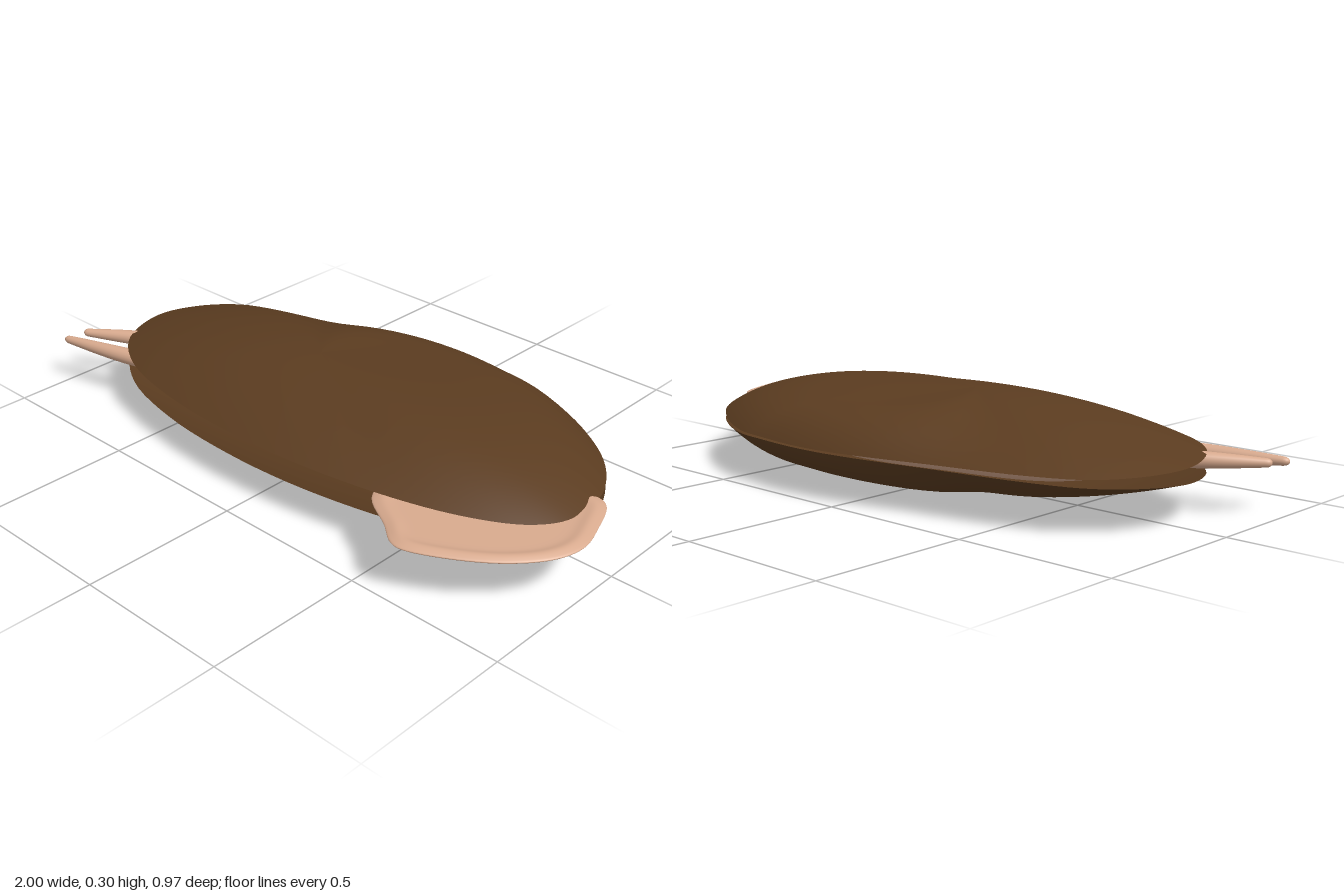
import * as THREE from 'three';

const MID = 0.151;                          // height of the plane between the valves
const CENTRE = new THREE.Vector2(-0.1, 0);  // crown of the valves in x, z

const closedCurve = (points) =>
  new THREE.CatmullRomCurve3(points.map(([x, z]) => new THREE.Vector3(x, 0, z)), true);

// Valve outline seen from above, as x, z pairs
const OUTLINE = closedCurve([
  [-0.885, 0], [-0.855, -0.14], [-0.76, -0.265], [-0.6, -0.338], [-0.3, -0.41],
  [0, -0.477], [0.17, -0.49], [0.35, -0.475], [0.45, -0.46], [0.61, -0.387],
  [0.78, -0.26], [0.876, -0.12], [0.904, 0], [0.892, 0.1], [0.83, 0.185],
  [0.7, 0.264], [0.5, 0.332], [0.2, 0.386], [-0.1, 0.4], [-0.4, 0.375],
  [-0.65, 0.305], [-0.81, 0.185],
]);

// Foot outline seen from above, as x, z pairs
const FOOT_CENTRE = new THREE.Vector2(0.72, 0.2);
const FOOT = closedCurve([
  [0.4, 0.2], [0.5, 0.03], [0.7, -0.05], [0.88, -0.077], [0.925, -0.06], [0.975, 0.05],
  [1, 0.15], [0.978, 0.24], [0.9, 0.34], [0.78, 0.427], [0.655, 0.483], [0.615, 0.477],
  [0.55, 0.428], [0.43, 0.345],
]);

// Smooth surface through rings: fn(u, v) gives a point, v wraps around
function surface(fn, nu, nv, flip) {
  const pos = [], idx = [];
  for (let i = 0; i <= nu; i++)
    for (let j = 0; j < nv; j++) pos.push(...fn(i / nu, j / nv));
  for (let i = 0; i < nu; i++)
    for (let j = 0; j < nv; j++) {
      const k = (j + 1) % nv;
      const a = i * nv + j, b = a + nv, c = (i + 1) * nv + k, d = i * nv + k;
      if (flip) idx.push(a, b, c, a, c, d);
      else idx.push(a, c, b, a, d, c);
    }
  const g = new THREE.BufferGeometry();
  g.setAttribute('position', new THREE.Float32BufferAttribute(pos, 3));
  g.setIndex(idx);
  g.computeVertexNormals();
  return g;
}

// Point on a flat outline scaled by t about its centre, and the outline point itself
function plan(outline, centre, t, v) {
  const p = outline.getPoint(v);
  return [centre.x + (p.x - centre.x) * t, centre.y + (p.z - centre.y) * t, p];
}

// One valve, side = 1 for upper and -1 for lower; gapes away from the hinge
function valveGeometry(side) {
  return surface((u, v) => {
    const t = Math.sin(u * Math.PI / 2);
    const [x, z, p] = plan(OUTLINE, CENTRE, t, v);
    // a long ridge with a blunt end runs towards the beak
    const dir = Math.atan2(-p.z, p.x - CENTRE.x);
    const ridge = Math.max(0, Math.cos(dir - 0.95)) ** 2;
    const dome = (1 - 0.27 * ridge * t) * (1 - t ** (2 + 6 * ridge));
    const gape = 0.003 + 0.04 * (z + 0.49);
    return [x, MID + side * (gape + 0.127 * dome), z];
  }, 32, 110, side < 0);
}

// Half of the soft body that fills the valves
function bodyGeometry(side) {
  return surface((u, v) => {
    const t = Math.sin(u * Math.PI / 2);
    const [x, z] = plan(OUTLINE, CENTRE, t * 0.77, v);
    return [x, MID + 0.004 + side * 0.07 * Math.sqrt(Math.max(0, 1 - t ** 4)), z];
  }, 20, 80, side < 0);
}

// Flat digging foot: half of a thin plate with a swollen, rounded rim
function footGeometry(side) {
  return surface((u, v) => {
    const t = Math.sin(u * Math.PI / 2);
    const [x, z] = plan(FOOT, FOOT_CENTRE, t, v);
    const swell = 0.006 + 0.006 * Math.exp(-(((t - 0.9) / 0.07) ** 2));
    return [x, 0.17 + side * swell * Math.sqrt(Math.max(0, 1 - t ** 24)), z];
  }, 30, 90, side < 0);
}

// Tapered, round-tipped tube along a flat path of x, z pairs
function siphonGeometry(path, y, r0, r1) {
  const curve = new THREE.CatmullRomCurve3(path.map(([x, z]) => new THREE.Vector3(x, y, z)));
  return surface((u, v) => {
    const s = 1 - (1 - u) ** 2;
    const p = curve.getPoint(s), d = curve.getTangent(s);
    const tip = s > 0.96 ? Math.sqrt(Math.max(0, 1 - ((s - 0.96) / 0.04) ** 2)) : 1;
    const r = THREE.MathUtils.lerp(r0, r1, s ** 1.6) * tip;
    const a = v * Math.PI * 2, c = Math.cos(a) * r;
    return [p.x - d.z * c, p.y + Math.sin(a) * r, p.z + d.x * c];
  }, 24, 20, true);
}

export function createModel() {
  const shellBrown = new THREE.MeshStandardMaterial({ color: 0x5b3c20, side: THREE.DoubleSide });
  shellBrown.name = 'shellBrown';
  const fleshPink = new THREE.MeshStandardMaterial({ color: 0xd8aa8e });
  fleshPink.name = 'fleshPink';

  const model = new THREE.Group();
  model.name = 'clam';
  const add = (name, geometry, material) => {
    const mesh = new THREE.Mesh(geometry, material);
    mesh.name = name;
    model.add(mesh);
    return mesh;
  };

  // Shell, body and foot in upper and lower halves
  for (const [half, side] of [['upper', 1], ['lower', -1]]) {
    add(half + 'Valve', valveGeometry(side), shellBrown);
    add(half + 'Body', bodyGeometry(side), fleshPink);
    add(half + 'Foot', footGeometry(side), fleshPink);
  }

  // Fleshy root joining the foot to the body
  const root = add('footRoot', new THREE.SphereGeometry(1, 40, 24), fleshPink);
  root.scale.set(0.26, 0.034, 0.2);
  root.position.set(0.53, 0.152, 0.11);

  // Siphons
  add('backSiphon', siphonGeometry([[-0.55, 0], [-0.83, 0.155], [-0.985, 0.245]], 0.16, 0.03, 0.012), fleshPink);
  add('frontSiphon', siphonGeometry([[-0.5, 0.18], [-0.79, 0.263], [-1, 0.312]], 0.155, 0.031, 0.012), fleshPink);

  return model;
}
